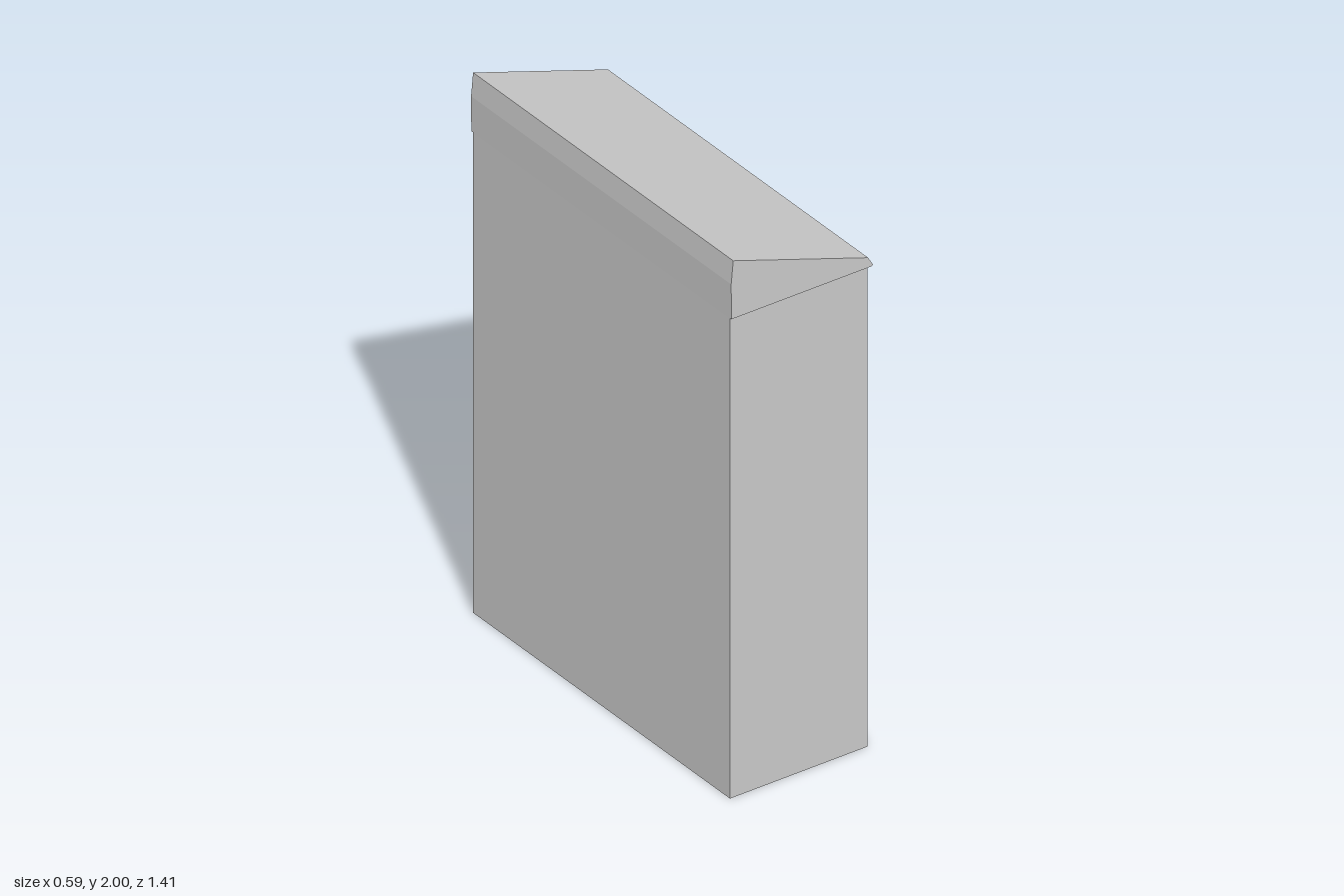
import * as THREE from 'three';

const grey = new THREE.MeshStandardMaterial({ color: 0xcccccc, flatShading: true });
const smooth = new THREE.MeshStandardMaterial({ color: 0xcccccc });

const BACK = -0.293, FRONT = 0.245, RECESS = 0.2; // depth positions along x
const HALF = 0.695, EAVES = 1.787;

function add(parent, name, geometry, material = grey) {
  const mesh = new THREE.Mesh(geometry, material);
  mesh.name = name;
  parent.add(mesh);
  return mesh;
}

function rect(Type, z0, z1, y0, y1) {
  const p = new Type();
  p.moveTo(-z1, y0);
  p.lineTo(-z0, y0);
  p.lineTo(-z0, y1);
  p.lineTo(-z1, y1);
  p.closePath();
  return p;
}

// Rectangular frame in the z/y plane, extruded along x; bounds are [z0, z1, y0, y1]
function frame(outer, inner, x0, x1) {
  const shape = rect(THREE.Shape, ...outer);
  shape.holes.push(rect(THREE.Path, ...inner));
  const g = new THREE.ExtrudeGeometry(shape, { depth: x1 - x0, bevelEnabled: false });
  return g.rotateY(Math.PI / 2).translate(x0, 0, 0);
}

function box(x0, x1, y0, y1, z0, z1) {
  return new THREE.BoxGeometry(x1 - x0, y1 - y0, z1 - z0)
    .translate((x0 + x1) / 2, (y0 + y1) / 2, (z0 + z1) / 2);
}

export function createModel() {
  const model = new THREE.Group();
  model.name = 'cabinet';

  // Carcass and the face frame around the doors
  add(model, 'carcass', box(BACK, RECESS - 0.004, 0, EAVES, -HALF, HALF));
  add(model, 'faceFrame', frame([-HALF, HALF, 0, EAVES], [-0.641, 0.651, 0.036, 1.78], RECESS - 0.004, FRONT));

  // Sloping roof with a small front overhang
  const profile = [
    [BACK, 1.785], [-0.294, 1.915], [-0.286, 2], [0.241, 1.822], [0.26, 1.79], [0.256, 1.785],
  ].map(([x, y]) => new THREE.Vector2(x, y)).reverse();
  const roof = new THREE.ExtrudeGeometry(new THREE.Shape(profile), { depth: 1.406, bevelEnabled: false });
  add(model, 'roof', roof.translate(0, 0, -0.703));

  // Doors: framed, with a recessed panel and a flared knob
  const doors = [
    { name: 'leftDoor', z: [0.011, 0.65], panel: [0.07, 0.595], knob: 0.043 },
    { name: 'rightDoor', z: [-0.632, 0.003], panel: [-0.575, -0.048], knob: -0.036 },
  ];
  for (const d of doors) {
    const door = new THREE.Group();
    door.name = d.name;
    add(door, 'doorFrame', frame([...d.z, 0.041, 1.777], [...d.panel, 0.105, 1.705], RECESS - 0.002, FRONT));
    add(door, 'doorPanel', box(RECESS - 0.01, RECESS, 0.1, 1.71, d.panel[0] - 0.005, d.panel[1] + 0.005));
    const knob = add(door, 'knob', new THREE.CylinderGeometry(0.024, 0.016, 0.05, 24), smooth);
    knob.rotation.z = -Math.PI / 2;
    knob.scale.x = 0.84;
    knob.position.set(0.268, 0.955, d.knob);
    model.add(door);
  }

  // Hinges sitting in the gap beside the right door
  for (const y of [0.345, 0.65, 0.955, 1.26, 1.565]) {
    const hinge = add(model, 'hinge', new THREE.CylinderGeometry(0.005, 0.005, 0.03, 10), smooth);
    hinge.position.set(FRONT - 0.012, y, -0.6365);
  }
  return model;
}
